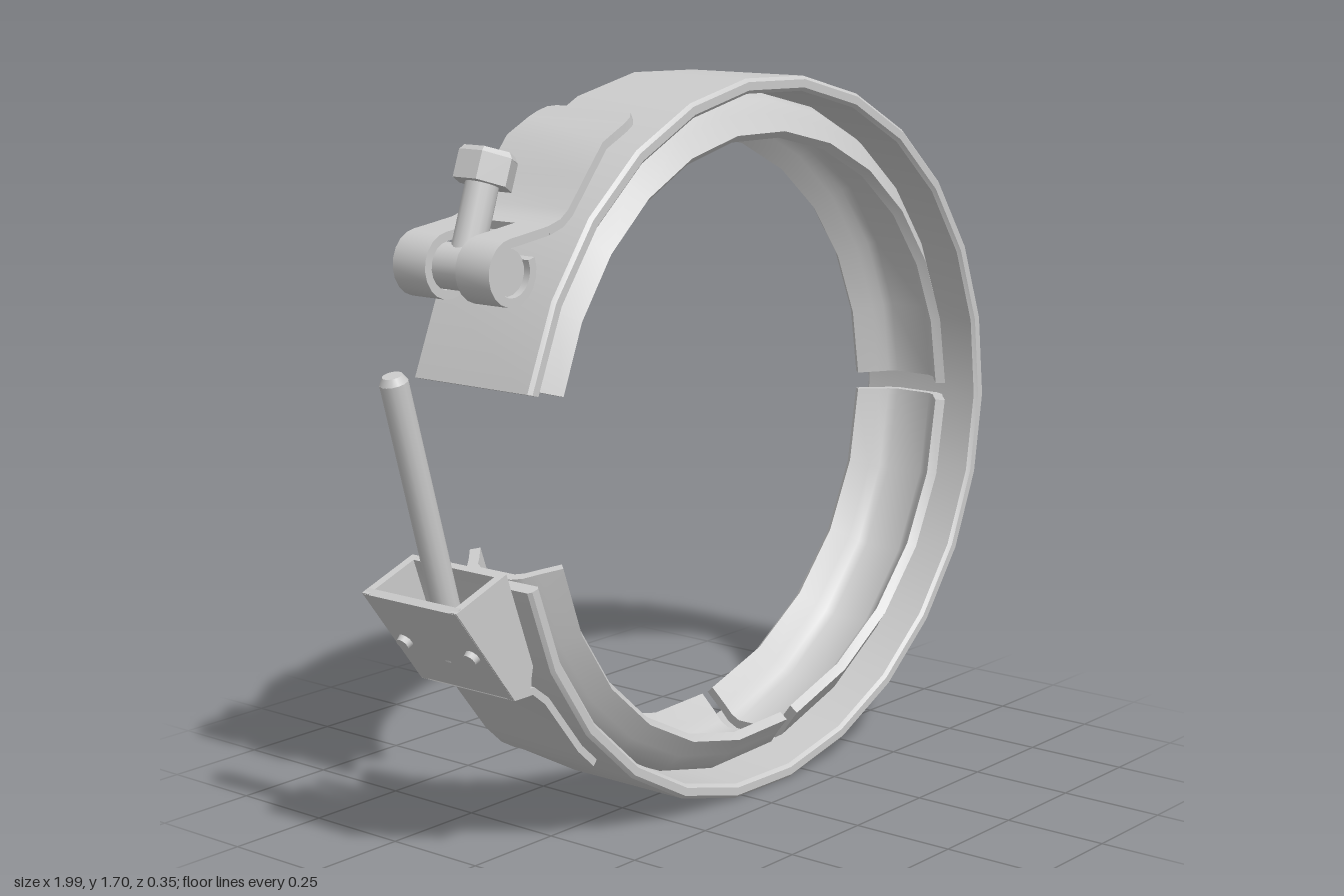
import * as THREE from 'three';
import { toCreasedNormals } from 'three/addons/utils/BufferGeometryUtils.js';

const V2 = (x, y) => new THREE.Vector2(x, y);
const RAD = Math.PI / 180;

// Solid swept through matching closed cross-sections, capped at both ends
function loft(sections, profile) {
  const n = profile.length, pos = [], idx = [];
  sections.forEach(s => s.forEach(p => pos.push(...p)));
  for (let i = 0; i < sections.length - 1; i++)
    for (let j = 0; j < n; j++) {
      const a = i * n + j, b = i * n + (j + 1) % n;
      idx.push(a, b, a + n, b, b + n, a + n);
    }
  const flip = THREE.ShapeUtils.isClockWise(profile);
  const last = (sections.length - 1) * n;
  for (const [a, b, c] of THREE.ShapeUtils.triangulateShape(profile, [])) {
    const [p, q] = flip ? [b, c] : [c, b];
    idx.push(a, p, q, last + a, last + q, last + p);
  }
  // turn the faces outwards if the sweep ran the other way
  let volume = 0;
  const at = k => new THREE.Vector3().fromArray(pos, idx[k] * 3);
  for (let k = 0; k < idx.length; k += 3) volume += at(k).dot(at(k + 1).cross(at(k + 2)));
  if (volume < 0) idx.reverse();
  const g = new THREE.BufferGeometry();
  g.setAttribute('position', new THREE.Float32BufferAttribute(pos, 3));
  g.setIndex(idx);
  return toCreasedNormals(g, 35 * RAD);
}

// Slightly egg-shaped ring: angle in degrees, depth below the outer surface
function ringPoint(deg, d, z) {
  const c = Math.cos(deg * RAD), s = Math.sin(deg * RAD);
  return [0.08 + ((c > 0 ? 0.915 : 0.853) - d) * c, 0.856 + (0.853 - d) * s, z];
}

function ringSweep(profile, from, to, spread = 0) {
  const steps = Math.max(4, Math.round(Math.abs(to - from) / 14)), sections = [];
  for (let i = 0; i <= steps; i++) {
    const t = from + (to - from) * i / steps;
    const extra = spread * Math.max(0, (Math.abs(t) - 90) / 75) ** 2;
    sections.push(profile.map(p => ringPoint(t, p.x + extra, p.y)));
  }
  return loft(sections, profile);
}

// Bent sheet along [x, y, halfWidth?] points, centred on depth z
function sheet(path, thick, halfWidth, z = 0) {
  const h = thick / 2;
  const sections = path.map(([x, y, w = halfWidth], i) => {
    const a = path[Math.max(0, i - 1)], b = path[Math.min(path.length - 1, i + 1)];
    const dir = V2(b[0] - a[0], b[1] - a[1]).normalize();
    const nx = -dir.y * h, ny = dir.x * h;
    return [[x + nx, y + ny, z - w], [x + nx, y + ny, z + w], [x - nx, y - ny, z + w], [x - nx, y - ny, z - w]];
  });
  return loft(sections, [V2(0, 0), V2(1, 0), V2(1, 1), V2(0, 1)]);
}

export function createModel() {
  const group = new THREE.Group();
  const mat = new THREE.MeshStandardMaterial({ color: 0xcccccc });
  const add = (name, geo) => {
    const m = new THREE.Mesh(geo, mat);
    m.name = name;
    group.add(m);
    return m;
  };
  // Rod between two points in the z = 0 plane
  const rod = (name, a, b, r1, r2, sides) => {
    const A = new THREE.Vector3(...a, 0), B = new THREE.Vector3(...b, 0);
    const geo = new THREE.CylinderGeometry(r2, r1, A.distanceTo(B), sides);
    const m = add(name, sides > 6 ? geo : toCreasedNormals(geo, 0.5));
    m.position.copy(A).lerp(B, 0.5);
    m.quaternion.setFromUnitVectors(new THREE.Vector3(0, 1, 0), B.sub(A).normalize());
    return m;
  };

  // Outer band with softened edges
  const e = 0.008, w = 0.173;
  add('outerBand', ringSweep([V2(0, e - w), V2(0, w - e), V2(e, w), V2(0.035 - e, w),
    V2(0.035, w - e), V2(0.035, e - w), V2(0.035 - e, -w), V2(e, -w)], 164.4, -166.5));

  // Three flared channel segments inside the band
  const half = [[0.046, 0.06], [0.06, 0.084], [0.09, 0.106], [0.131, 0.14],
    [0.147, 0.122], [0.106, 0.088], [0.082, 0.07], [0.07, 0.05]];
  const channel = [...half.map(([d, z]) => V2(d, z)), ...half.map(([d, z]) => V2(d, -z)).reverse()];
  for (const [a, b] of [[163.5, 2], [-1.5, -78], [-81, -165.5]])
    add('channelSegment', ringSweep(channel, a, b, 0.014));

  // Upper strap with a rounded free end
  add('upperStrap', sheet([[-0.342, 1.644, 0.1], [-0.349, 1.641, 0.122], [-0.365, 1.632, 0.135],
    [-0.39, 1.62, 0.14], [-0.46, 1.586], [-0.52, 1.515], [-0.572, 1.452], [-0.6, 1.432], [-0.64, 1.42]], 0.02, 0.14));

  // Strap loops on either side of the bolt slot
  const loop = [[-0.64, 1.42], [-0.7, 1.412]];
  for (let a = 95; a <= 383; a += 18)
    loop.push([-0.754 + 0.063 * Math.cos(a * RAD), 1.342 + 0.063 * Math.sin(a * RAD)]);
  for (const s of [-1, 1]) add('strapLoop', sheet(loop, 0.02, 0.048, s * 0.092));

  // Barrel nut and hex bolt
  const barrel = add('barrelNut', new THREE.CylinderGeometry(0.051, 0.051, 0.25, 18));
  barrel.rotation.x = Math.PI / 2;
  barrel.position.set(-0.754, 1.342, 0);
  rod('boltShank', [-0.754, 1.342], [-0.69, 1.528], 0.037, 0.037, 14);
  rod('boltHead', [-0.695, 1.512], [-0.674, 1.57], 0.067, 0.067, 6);
  rod('boltHeadChamfer', [-0.674, 1.57], [-0.67, 1.582], 0.067, 0.058, 6);

  // Wedge bracket: two cheeks, an outer plate, an inner plate running into the tail
  const cheek = new THREE.ExtrudeGeometry(new THREE.Shape([V2(-0.94, 0.647), V2(-0.765, 0.418),
    V2(-0.716, 0.432), V2(-0.706, 0.482), V2(-0.786, 0.702)]), { depth: 0.02, bevelEnabled: false });
  for (const z of [-0.14, 0.12]) add('bracketCheek', cheek).position.z = z;
  add('bracketOuterPlate', sheet([[-0.932, 0.65], [-0.76, 0.426]], 0.018, 0.137));
  add('bracketInnerPlate', sheet([[-0.794, 0.699], [-0.716, 0.482], [-0.718, 0.436]], 0.018, 0.137));
  add('bracketTail', sheet([[-0.765, 0.426], [-0.705, 0.426], [-0.663, 0.394], [-0.555, 0.258],
    [-0.505, 0.213, 0.14], [-0.492, 0.203, 0.115]], 0.017, 0.14));

  // Rivets on the outer plate
  for (const z of [-0.1, 0.1]) rod('rivet', [-0.835, 0.54], [-0.862, 0.521], 0.022, 0.016, 12).position.z = z;

  // T-bolt held in the bracket
  rod('tBoltRod', [-0.795, 0.5], [-0.969, 1.125], 0.031, 0.031, 14);
  rod('tBoltTip', [-0.969, 1.125], [-0.973, 1.14], 0.031, 0.022, 14);
  const cross = add('tBoltCrossbar', new THREE.CylinderGeometry(0.035, 0.035, 0.24, 14));
  cross.rotation.x = Math.PI / 2;
  cross.position.set(-0.795, 0.55, 0);

  return group;
}
